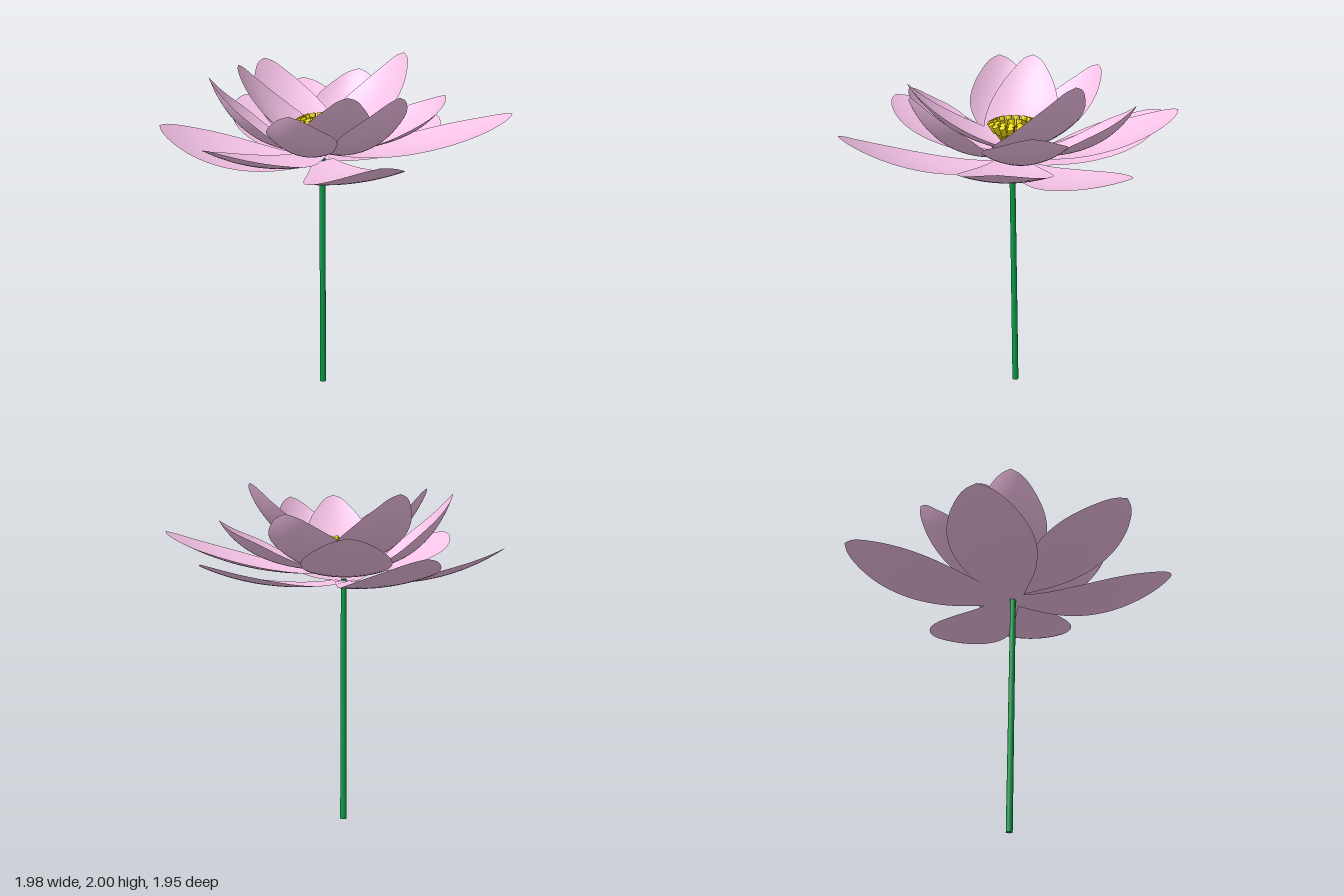
import * as THREE from 'three';

const V = (x, y, z) => new THREE.Vector3(x, y, z);
const UP = V(0, 1, 0);
const CENTRE = V(-0.07, 0, -0.02);

const pink = new THREE.MeshStandardMaterial({ color: 0xf5c2e7, side: THREE.DoubleSide });
const green = new THREE.MeshStandardMaterial({ color: 0x0a9a48 });
const yellow = new THREE.MeshStandardMaterial({ color: 0xf0dc10 });

// Half-width of a petal along its length, as a share of its widest point
const outlineOf = (points) =>
  new THREE.SplineCurve(points.map(([t, w]) => new THREE.Vector2(t, w)));
const slender = outlineOf([
  [0, 0.26], [0.15, 0.52], [0.32, 0.82], [0.5, 0.99], [0.66, 0.97],
  [0.8, 0.79], [0.91, 0.52], [0.97, 0.27], [1, 0],
]);
const broad = outlineOf([
  [0, 0.55], [0.13, 0.82], [0.28, 0.97], [0.43, 1], [0.61, 0.93],
  [0.78, 0.73], [0.9, 0.47], [0.97, 0.25], [1, 0],
]);

// Cupped sheet swept along a curved midrib from the flower's heart to the tip
function petalGeometry({ tip, width, roll, start, baseY, reach, lowY, cup, outline }) {
  const out = V(tip.x - CENTRE.x, 0, tip.z - CENTRE.z);
  const length = out.length();
  out.normalize();
  const at = (r, y) => CENTRE.clone().addScaledVector(out, r).setY(y);
  const midrib = new THREE.QuadraticBezierCurve3(at(start, baseY), at(length * reach, lowY), tip);
  const side = UP.clone().cross(out).addScaledVector(UP, roll).normalize();
  const rows = 28, cols = 14, positions = [], index = [];
  for (let i = 0; i <= rows; i++) {
    const profile = outline.getPoint(i / rows);
    const t = THREE.MathUtils.clamp(profile.x, 0, 1);
    const share = Math.max(profile.y, 0);
    const centre = midrib.getPoint(t);
    const normal = midrib.getTangent(t).cross(side).normalize();
    for (let j = 0; j <= cols; j++) {
      const v = (j / cols) * 2 - 1;
      const p = centre.clone()
        .addScaledVector(side, v * share * width / 2)
        .addScaledVector(normal, cup * v * v * share * share);
      positions.push(p.x, p.y, p.z);
      if (i < rows && j < cols) {
        const a = i * (cols + 1) + j, b = a + cols + 1;
        index.push(a, b, a + 1, b, b + 1, a + 1);
      }
    }
  }
  const geometry = new THREE.BufferGeometry();
  geometry.setAttribute('position', new THREE.Float32BufferAttribute(positions, 3));
  geometry.setIndex(index);
  geometry.computeVertexNormals();
  return geometry;
}

// Tapered round rod between two points
function rod(name, from, to, r0, r1, sides, material) {
  const dir = to.clone().sub(from);
  const mesh = new THREE.Mesh(new THREE.CylinderGeometry(r1, r0, dir.length(), sides), material);
  mesh.position.copy(from).lerp(to, 0.5);
  mesh.quaternion.setFromUnitVectors(UP, dir.normalize());
  mesh.name = name;
  return mesh;
}

// A layer of petals, each given as [tip x, tip y, tip z, width, sideways roll]
function petalLayer(name, petals, shape) {
  const layer = new THREE.Group();
  layer.name = name;
  for (const [x, y, z, width, roll = 0] of petals) {
    const mesh = new THREE.Mesh(petalGeometry({ tip: V(x, y, z), width, roll, ...shape }), pink);
    mesh.name = 'petal';
    layer.add(mesh);
  }
  return layer;
}

export function createModel() {
  const flower = new THREE.Group();
  flower.name = 'flower';

  flower.add(rod('stem', V(-0.07, 0, -0.03), V(-0.07, 1.45, -0.01), 0.019, 0.017, 16, green));

  // Lowest petals, wide and nearly flat
  flower.add(petalLayer('lowestPetals', [
    [0.7, 1.57, -0.52, 0.48],
    [-0.46, 1.63, -0.97, 0.46, 0.05],
    [-0.99, 1.64, -0.15, 0.5, -0.1],
    [0.09, 1.67, 0.97, 0.5, 0.05],
  ], { start: 0.01, baseY: 1.44, reach: 0.58, lowY: 1.37, cup: 0.025, outline: slender }));

  // Wide petals resting just above them
  flower.add(petalLayer('outerPetals', [
    [0.99, 1.72, 0.16, 0.5],
    [-0.08, 1.73, -0.98, 0.48],
    [-0.72, 1.7, 0.66, 0.46],
  ], { start: 0.02, baseY: 1.49, reach: 0.56, lowY: 1.43, cup: 0.04, outline: slender }));

  // Spreading middle petals
  flower.add(petalLayer('middlePetals', [
    [0.65, 1.79, -0.04, 0.46],
    [0.24, 1.84, -0.66, 0.42],
    [-0.7, 1.94, 0.01, 0.42],
    [-0.31, 1.84, 0.57, 0.38],
    [0.26, 1.92, 0.56, 0.38],
  ], { start: 0.02, baseY: 1.5, reach: 0.76, lowY: 1.49, cup: 0.075, outline: slender }));

  // Upright inner petals, broad at the foot
  flower.add(petalLayer('innerPetals', [
    [0.45, 2.0, -0.29, 0.44],
    [-0.36, 1.94, -0.55, 0.43],
    [-0.53, 1.97, -0.18, 0.43],
    [-0.01, 1.93, 0.58, 0.4],
  ], { start: -0.05, baseY: 1.52, reach: 0.62, lowY: 1.56, cup: 0.055, outline: broad }));

  // Rings of stamens, each a thin filament with a thick anther
  const stamens = new THREE.Group();
  stamens.name = 'stamens';
  const rings = [[18, 0.14, 1.68], [14, 0.11, 1.69], [9, 0.07, 1.68]];
  for (const [count, radius, top] of rings) {
    for (let i = 0; i < count; i++) {
      const a = ((i + radius * 5) / count) * Math.PI * 2;
      const at = (r, y) => V(CENTRE.x + Math.cos(a) * r, y, CENTRE.z + Math.sin(a) * r);
      const neck = at(radius * 0.8, top - 0.05);
      stamens.add(rod('filament', at(radius * 0.15, 1.5), neck, 0.006, 0.006, 6, yellow));
      stamens.add(rod('anther', neck, at(radius, top), 0.015, 0.018, 8, yellow));
    }
  }
  flower.add(stamens);
  return flower;
}
